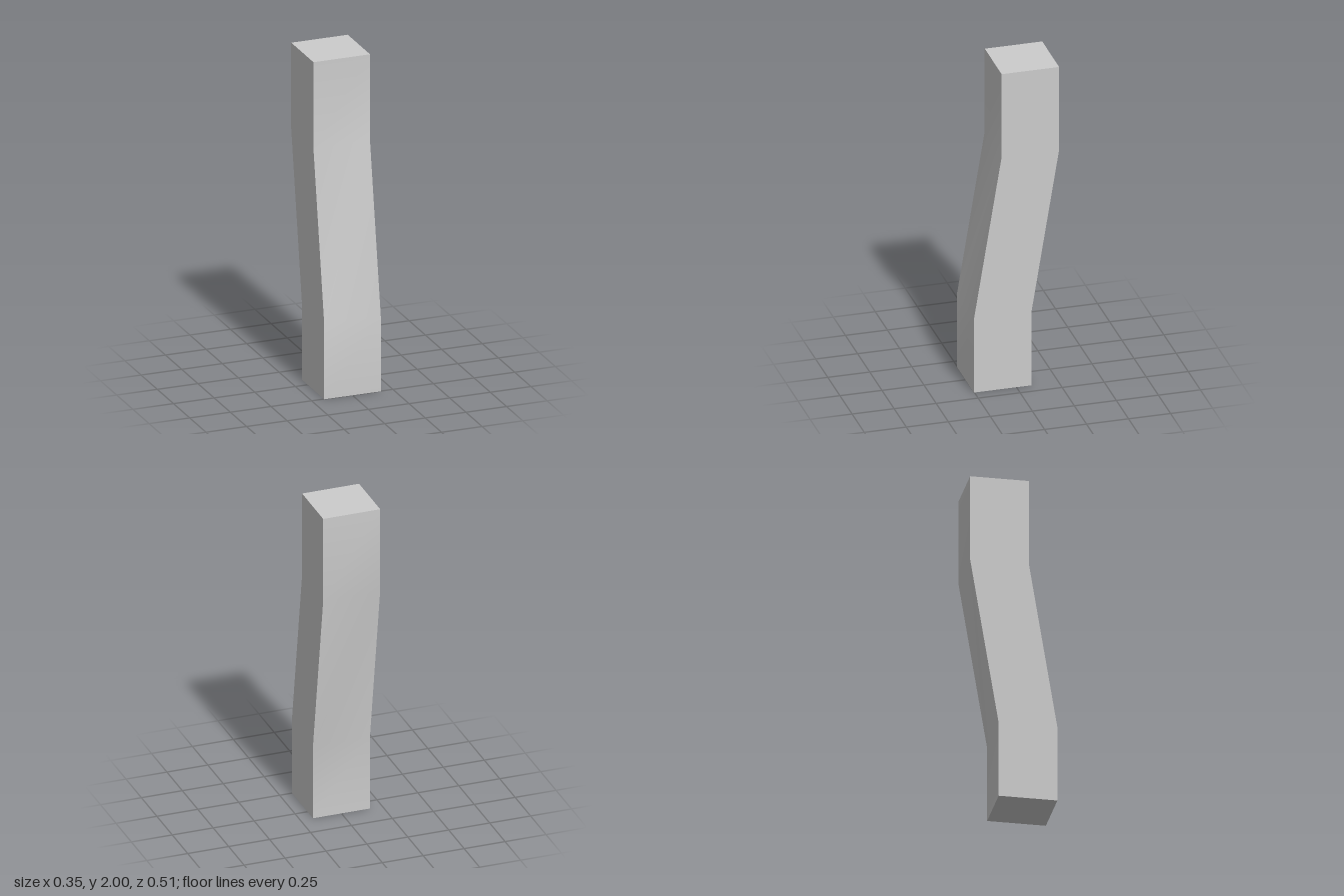
import * as THREE from 'three';

export function createModel() {
  const group = new THREE.Group();
  group.name = 'bentPost';

  // Height and z offset of each cross-section, from bottom to top
  const sections = [[0, 0.083], [0.46, 0.083], [1.475, -0.083], [2, -0.083]];

  // Square post with two bends; each side stays smooth across the bends
  const geometry = new THREE.BoxGeometry(0.348, 3, 0.342, 1, 3, 1);
  const pos = geometry.attributes.position;
  for (let i = 0; i < pos.count; i++) {
    const [y, dz] = sections[Math.round(pos.getY(i) + 1.5)];
    pos.setY(i, y);
    pos.setZ(i, pos.getZ(i) + dz);
  }
  geometry.computeVertexNormals();

  const post = new THREE.Mesh(geometry, new THREE.MeshStandardMaterial({ color: 0xcccccc }));
  post.name = 'post';
  group.add(post);
  return group;
}
